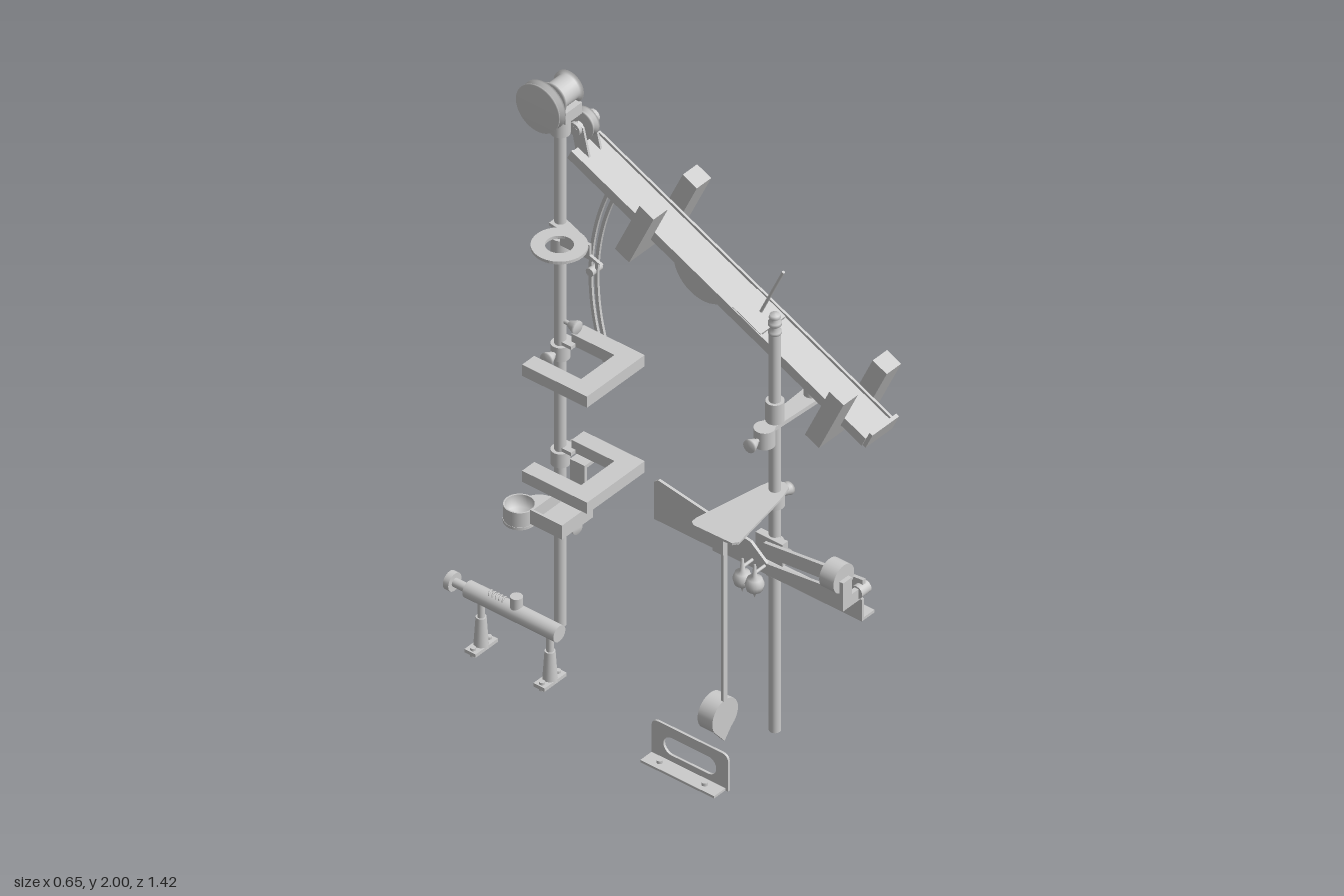
import * as THREE from 'three';

const MAT = new THREE.MeshStandardMaterial({ color: 0xcccccc, side: THREE.DoubleSide });
const V = (x, y, z) => new THREE.Vector3(x, y, z);

function add(parent, name, geo, x = 0, y = 0, z = 0) {
  const m = new THREE.Mesh(geo, MAT);
  m.name = name;
  m.position.set(x, y, z);
  parent.add(m);
  return m;
}
// box given by its min and max corners
const box = (p, name, x0, x1, y0, y1, z0, z1) =>
  add(p, name, new THREE.BoxGeometry(x1 - x0, y1 - y0, z1 - z0), (x0 + x1) / 2, (y0 + y1) / 2, (z0 + z1) / 2);
// cylinder or cone from point a to point b
function rod(p, name, a, b, r0, r1 = r0, seg = 24) {
  const d = b.clone().sub(a), len = d.length();
  const m = add(p, name, new THREE.CylinderGeometry(r1, r0, len, seg));
  m.position.copy(a).addScaledVector(d, 0.5);
  m.quaternion.setFromUnitVectors(V(0, 1, 0), d.normalize());
  return m;
}
// lathe along direction d, starting at a; pts are [radius, distance]
function turned(p, name, pts, a, d, seg = 32) {
  const m = add(p, name, new THREE.LatheGeometry(pts.map(q => new THREE.Vector2(...q)), seg));
  m.position.copy(a);
  m.quaternion.setFromUnitVectors(V(0, 1, 0), d.clone().normalize());
  return m;
}
function shapeOf(pts) {
  return new THREE.Shape(pts.map(q => new THREE.Vector2(...q)));
}
const extrude = (s, depth) => new THREE.ExtrudeGeometry(s, { depth, bevelEnabled: false, curveSegments: 20 });
// plate drawn in (x, -z), lying flat with its underside at y
function flat(p, name, s, y, t) {
  const m = add(p, name, extrude(s, t), 0, y, 0);
  m.rotation.x = -Math.PI / 2;
  return m;
}
// plate drawn in (-z, y), standing with its inner face at x
function upright(p, name, s, x, t) {
  const m = add(p, name, extrude(s, t), x, 0, 0);
  m.rotation.y = Math.PI / 2;
  return m;
}
// open cup with its floor at a, opening along d
const cup = (p, name, a, d, r, h) =>
  turned(p, name, [[0, 0], [r, 0], [r, 0], [r, h], [r, h], [r * 0.9, h], [r * 0.9, h], [r * 0.9, 0.008], [0, 0.008]], a, d);
// thumb screw pointing along d
const thumbScrew = (p, a, d) =>
  turned(p, 'thumbScrew', [[0, 0], [0.007, 0], [0.007, 0.035], [0.011, 0.035], [0.021, 0.058], [0.021, 0.066], [0, 0.066]], a, d, 16);
const pulley = (p, name, a, r, w) =>
  turned(p, name, [[0, 0], [r, 0], [r, w * 0.2], [r * 0.82, w * 0.4], [r * 0.82, w * 0.6], [r, w * 0.8], [r, w], [0, w]], a, V(1, 0, 0));
function collar(p, y, z, d, h = 0.05) {
  rod(p, 'collar', V(0.032, y - h / 2, z), V(0.032, y + h / 2, z), 0.029);
  if (d) thumbScrew(p, V(0.032, y, z), d);
}
function part(root, name) {
  const g = new THREE.Group();
  g.name = name;
  root.add(g);
  return g;
}
const X = V(1, 0, 0), NX = V(-1, 0, 0), Y = V(0, 1, 0), Z = V(0, 0, 1), PX = 0.032, RZ = -0.48, FZ = 0.32;

function rearStand(root) {
  const g = part(root, 'rearStand');
  rod(g, 'rearPost', V(PX, 0.02, RZ), V(PX, 1.85, RZ), 0.018);
  // top wheel and spool
  rod(g, 'topSocket', V(PX, 1.78, RZ), V(PX, 1.855, RZ), 0.03);
  box(g, 'topBlock', -0.005, 0.07, 1.85, 1.89, RZ - 0.05, RZ + 0.05);
  pulley(g, 'topWheel', V(-0.072, 1.922, RZ), 0.08, 0.032);
  turned(g, 'spool', [[0, 0], [0.053, 0], [0.053, 0.008], [0.043, 0.008], [0.043, 0.078], [0.053, 0.078], [0.053, 0.086], [0, 0.086]], V(-0.012, 1.922, RZ), X);
  rod(g, 'topAxle', V(-0.05, 1.922, RZ), V(0.085, 1.922, RZ), 0.012);
  rod(g, 'axleKnob', V(0.078, 1.922, RZ), V(0.094, 1.922, RZ), 0.022, 0.022, 12);
  // ring shelf
  const ring = new THREE.Shape().absarc(-0.057, 0.41, 0.083, 0, Math.PI * 2);
  ring.holes.push(new THREE.Path().absarc(-0.057, 0.41, 0.042, 0, Math.PI * 2, true));
  flat(g, 'ringShelf', ring, 1.452, 0.01);
  flat(g, 'ringArm', shapeOf([[0.0, 0.36], [0.025, 0.4], [0.06, 0.5], [0.005, 0.5], [0.0, 0.46]]), 1.452, 0.01);
  upright(g, 'ringBracket', shapeOf([[0.305, 1.4], [0.46, 1.4], [0.46, 1.452], [0.35, 1.452], [0.35, 1.415]]), 0.005, 0.01);
  collar(g, 1.38, RZ, X, 0.06);
  // U shaped frames
  for (const y of [1.03, 0.65]) {
    flat(g, 'uFrame', shapeOf([[-0.165, 0.46], [-0.165, 0.218], [0.095, 0.218], [0.095, 0.445], [0.04, 0.445], [0.04, 0.285], [-0.11, 0.285], [-0.11, 0.46]]), y, 0.04);
    box(g, 'frameLug', 0.02, 0.06, y, y + 0.012, RZ, -0.43);
    collar(g, y - 0.028, RZ, y > 1 ? NX : X);
  }
  thumbScrew(g, V(PX, 1.11, RZ), Z);
  // open tray hanging from the lower frame
  const t = part(g, 'tray');
  box(t, 'trayFloor', -0.13, 0.01, 0.48, 0.488, -0.46, -0.34);
  box(t, 'traySide', -0.13, -0.122, 0.48, 0.53, -0.46, -0.34);
  box(t, 'traySide', 0.002, 0.01, 0.48, 0.55, -0.46, -0.34);
  box(t, 'trayEnd', -0.13, 0.01, 0.48, 0.53, -0.348, -0.34);
  box(t, 'trayEnd', -0.13, 0.01, 0.48, 0.53, -0.46, -0.452);
  box(t, 'trayStrap', 0.008, 0.018, 0.49, 0.65, -0.425, -0.37);
  box(t, 'strapHook', 0.008, 0.06, 0.638, 0.65, -0.425, -0.37);
  // low shelf with cup
  const s = new THREE.Shape();
  s.moveTo(0.07, 0.46).lineTo(0.07, 0.545).absarc(0.015, 0.545, 0.057, 0, Math.PI / 2);
  s.lineTo(-0.063, 0.602).absarc(-0.063, 0.553, 0.049, Math.PI / 2, Math.PI * 1.5);
  s.lineTo(-0.02, 0.5).lineTo(0, 0.46);
  flat(g, 'lowShelf', s, 0.41, 0.009);
  cup(g, 'shelfCup', V(-0.063, 0.418, -0.553), Y, 0.048, 0.052);
  collar(g, 0.392, RZ, Z, 0.045);
}

function frontStand(root) {
  const g = part(root, 'frontStand');
  rod(g, 'frontPost', V(PX, 0.02, FZ), V(PX, 1.44, FZ), 0.018);
  turned(g, 'postFinial', [[0, 0], [0.012, 0], [0.02, 0.012], [0.02, 0.02], [0.011, 0.032], [0.02, 0.042], [0.02, 0.052], [0.011, 0.06], [0.018, 0.068], [0.015, 0.078], [0, 0.08]], V(PX, 1.43, FZ), Y);
  rod(g, 'pivotSocket', V(PX, 1.13, FZ), V(PX, 1.2, FZ), 0.028);
  rod(g, 'sideCollar', V(-0.015, 1.07, FZ), V(-0.015, 1.13, FZ), 0.032);
  thumbScrew(g, V(-0.02, 1.1, FZ), NX);
  // arm carrying the ramp
  const a = new THREE.Shape();
  a.moveTo(-0.01, -FZ - 0.022).lineTo(0.26, -FZ - 0.036).absarc(0.258, -FZ, 0.036, -Math.PI / 2, Math.PI / 2);
  a.lineTo(-0.01, -FZ + 0.022);
  flat(g, 'rampArm', a, 1.115, 0.014);
  rod(g, 'rampPivot', V(0.195, 1.12, FZ), V(0.195, 1.21, FZ), 0.022);
  // tapered table
  flat(g, 'table', shapeOf([[-0.24, -0.235], [-0.22, -0.233], [0.02, -0.277], [0.065, -0.29], [0.075, -0.32], [0.065, -0.345], [0.02, -0.36], [-0.23, -0.403], [-0.247, -0.39], [-0.25, -0.25]]), 0.873, 0.008);
  collar(g, 0.85, FZ, X);
  // pendulum
  const p = part(g, 'pendulum');
  for (const x of [-0.222, -0.158]) box(p, 'pendulumHanger', x - 0.004, x + 0.004, 0.8, 0.875, 0.3, 0.34);
  rod(p, 'hangerPin', V(-0.222, 0.825, FZ), V(-0.158, 0.825, FZ), 0.006);
  box(p, 'pendulumRod', -0.199, -0.181, 0.25, 0.84, 0.31, 0.32);
  cup(p, 'pendulumBob', V(-0.19, 0.195, 0.318), V(0, 0, -1), 0.058, 0.055);
  const tip = add(p, 'pendulumPointer', extrude(shapeOf([[-0.05, -0.03], [0, -0.09], [0.05, -0.03]]), 0.01), -0.19, 0.195, 0.306);
  tip.rotation.z = 0;
  // twin plumb bobs
  for (const z of [0.297, 0.343]) {
    turned(g, 'plumbBob', [[0, 0], [0.006, 0.02], [0.024, 0.032], [0.029, 0.052], [0.022, 0.072], [0.008, 0.08], [0.004, 0.12], [0, 0.12]], V(-0.087, 0.57, z), Y, 20);
    rod(g, 'bobArm', V(-0.087, 0.66, z), V(-0.03, 0.66, z), 0.005);
  }
  collar(g, 0.61, FZ, X);
  rod(g, 'railCollar', V(PX, 0.645, FZ), V(PX, 0.7, FZ), 0.026);
}

function rail(root) {
  const g = part(root, 'rail');
  // drawn in (-z, y): flared rear half, notched front half
  upright(g, 'railPlate', shapeOf([[-0.705, 0.635], [0.07, 0.635], [0.07, 0.765], [0.055, 0.777], [-0.29, 0.72], [-0.35, 0.67], [-0.705, 0.71]]), -0.042, 0.01);
  box(g, 'railFlange', -0.042, 0.015, 0.632, 0.642, -0.07, 0.705);
  box(g, 'railBracket', 0.005, 0.03, 0.642, 0.72, 0.27, 0.37);
  for (const z of [0.17, 0.455]) rod(g, 'railScrew', V(-0.012, 0.618, z), V(-0.012, 0.648, z), 0.009, 0.009, 12);
  upright(g, 'lever', shapeOf([[-0.7, 0.72], [-0.33, 0.685], [-0.33, 0.73], [-0.7, 0.772]]), -0.032, 0.012);
  rod(g, 'leverPivot', V(-0.05, 0.735, 0.692), V(-0.008, 0.735, 0.692), 0.021);
  box(g, 'cupArm', -0.12, -0.03, 0.71, 0.75, 0.685, 0.7);
  box(g, 'cupArm', -0.12, -0.08, 0.71, 0.81, 0.685, 0.7);
  cup(g, 'railCup', V(-0.1, 0.81, 0.686), V(0, 0, -1), 0.047, 0.053);
}

function ramp(root) {
  const g = part(root, 'ramp');
  g.position.set(0.195, 1.365, 0.02);
  g.rotation.x = 0.435;
  box(g, 'rampBoard', -0.065, 0.065, -0.016, 0.01, -0.605, 0.605);
  for (const s of [-1, 1]) add(g, 'rampRim', new THREE.BoxGeometry(0.008, 0.012, 1.21), s * 0.061, 0.013, 0);
  box(g, 'rampStop', -0.06, 0.06, -0.016, 0.045, 0.605, 0.617);
  // U shaped cradles square to the board
  const u = shapeOf([[-0.13, -0.08], [0.13, -0.08], [0.13, 0.137], [0.065, 0.137], [0.065, -0.014], [-0.065, -0.014], [-0.065, 0.137], [-0.13, 0.137]]);
  for (const z of [0.49, -0.291]) add(g, 'cradle', extrude(u, 0.058), 0, 0, z - 0.029);
  // carriage with upright pin
  box(g, 'carriage', -0.062, 0.05, 0.01, 0.022, 0.055, 0.17);
  rod(g, 'carriagePin', V(0, 0.01, 0.115), V(0, 0.22, 0.115), 0.005, 0.005, 10);
  // half disc under the board
  const d = new THREE.Shape().absarc(0.096, -0.014, 0.112, Math.PI, Math.PI * 2);
  upright(g, 'halfDisc', d, -0.01, 0.02);
  // end pulley in its fork
  pulley(g, 'endPulley', V(-0.016, 0.073, -0.637), 0.046, 0.032);
  rod(g, 'endAxle', V(-0.047, 0.073, -0.637), V(0.05, 0.073, -0.637), 0.011);
  for (const s of [-1, 1]) {
    upright(g, 'pulleyFork', shapeOf([[0.56, 0.01], [0.605, -0.01], [0.66, 0.065], [0.645, 0.09], [0.62, 0.085]]), s * 0.026 - 0.004, 0.008);
    rod(g, 'axleNut', V(s * 0.034, 0.073, -0.637), V(s * 0.046, 0.073, -0.637), 0.022, 0.022, 12);
  }
}

// slotted arc scale centred on the ramp pivot
function arcScale(root) {
  const g = part(root, 'arcScale');
  const cx = -0.32, cy = 1.17, a0 = -0.36, a1 = 0.48;
  const band = (C, r0, r1, b0, b1) => {
    const s = new C();
    s.absarc(cx, cy, r1, b0, b1, false);
    s.absarc(cx, cy, r0, b1, b0, true);
    s.closePath();
    return s;
  };
  const s = band(THREE.Shape, 0.793, 0.827, a0, a1);
  s.holes.push(band(THREE.Path, 0.804, 0.816, a0 + 0.02, a1 - 0.02));
  upright(g, 'arcBand', s, 0.191, 0.009);
  rod(g, 'arcClamp', V(0.175, 1.19, -0.49), V(0.22, 1.19, -0.49), 0.014, 0.014, 12);
}

function footBracket(root) {
  const g = part(root, 'slottedBracket');
  const s = new THREE.Shape();
  s.moveTo(-0.4, 0.012).lineTo(-0.115, 0.012).lineTo(-0.115, 0.115).quadraticCurveTo(-0.115, 0.14, -0.14, 0.14);
  s.lineTo(-0.375, 0.14).quadraticCurveTo(-0.4, 0.14, -0.4, 0.115);
  const h = new THREE.Path();
  h.absarc(-0.325, 0.073, 0.031, Math.PI / 2, Math.PI * 1.5);
  h.absarc(-0.19, 0.073, 0.031, -Math.PI / 2, Math.PI / 2);
  s.holes.push(h);
  upright(g, 'slottedPlate', s, -0.276, 0.008);
  box(g, 'bracketBase', -0.327, -0.268, 0.012, 0.02, 0.115, 0.39);
  for (const z of [0.165, 0.333]) rod(g, 'bracketScrew', V(-0.3, 0, z), V(-0.3, 0.03, z), 0.01, 0.01, 12);
}

// plunger tube on two feet
function plunger(root) {
  const g = part(root, 'plunger'), x = -0.19, y = 0.196;
  rod(g, 'plungerTube', V(x, y, -0.64), V(x, y, -0.3), 0.027);
  rod(g, 'plungerRod', V(x, y, -0.7), V(x, y, -0.63), 0.014);
  rod(g, 'plungerKnob', V(x, y, -0.71), V(x, y, -0.69), 0.03);
  rod(g, 'triggerStud', V(x, y + 0.02, -0.46), V(x, 0.255, -0.46), 0.019);
  const coil = Array.from({ length: 41 }, (_, i) => V(x + 0.011 * Math.cos(i * 0.785), y + 0.024 + 0.008 * Math.sin(i * 0.785), -0.56 + i * 0.0016));
  add(g, 'spring', new THREE.TubeGeometry(new THREE.CatmullRomCurve3(coil), 120, 0.003, 6));
  for (const z of [-0.335, -0.592]) {
    rod(g, 'footLeg', V(x, 0.012, z), V(x, 0.12, z), 0.023, 0.016);
    rod(g, 'footNeck', V(x, 0.115, z), V(x, 0.18, z), 0.011);
    box(g, 'footBase', x - 0.05, x + 0.05, 0.01, 0.022, z - 0.021, z + 0.021);
    for (const s of [-1, 1]) rod(g, 'footScrew', V(x + s * 0.036, 0, z), V(x + s * 0.036, 0.03, z), 0.009, 0.009, 12);
  }
}

export function createModel() {
  const root = new THREE.Group();
  root.name = 'rampMachine';
  [rearStand, frontStand, rail, ramp, arcScale, footBracket, plunger].forEach(f => f(root));
  return root;
}
